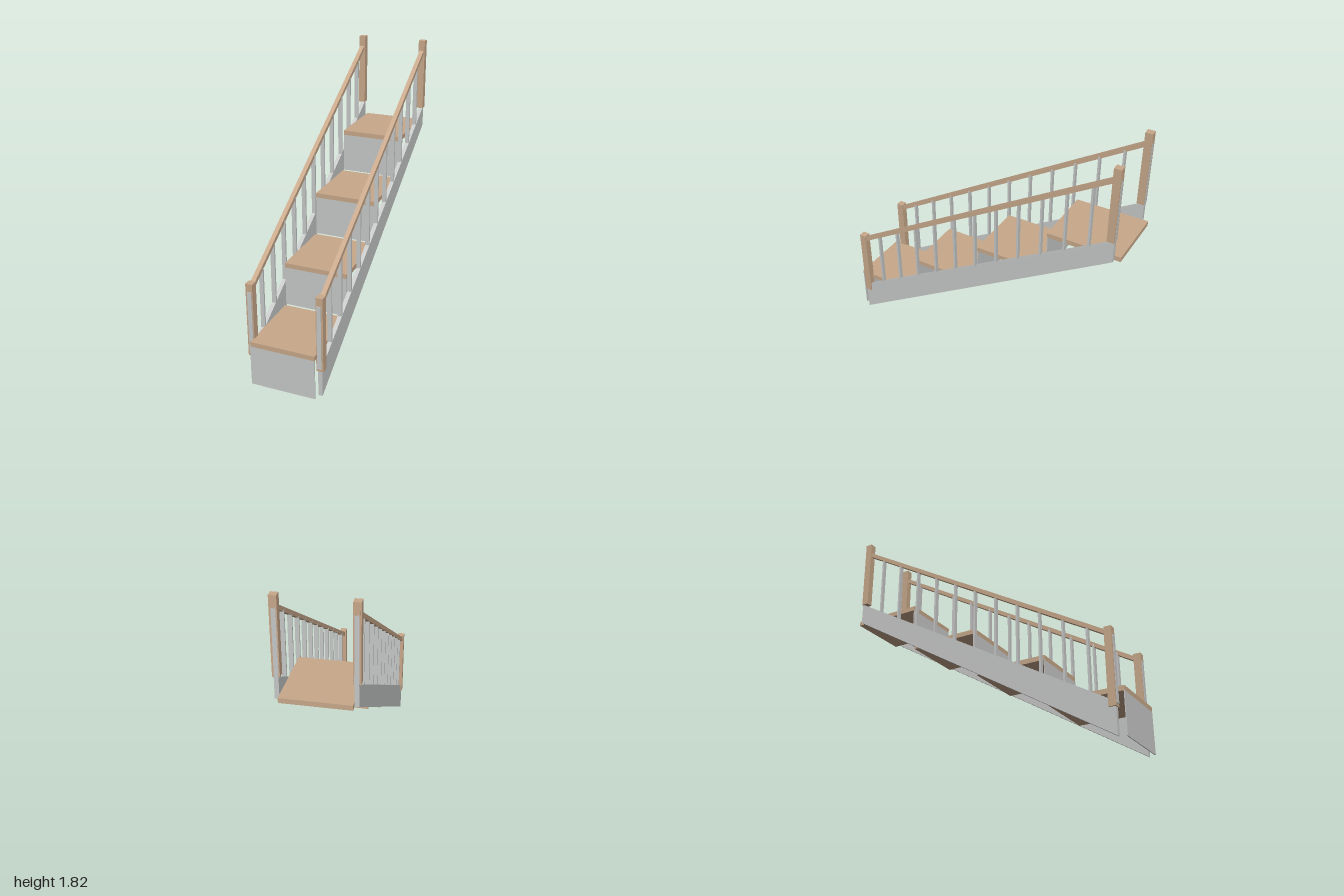
import * as THREE from 'three';

const wood = new THREE.MeshStandardMaterial({ color: 0xc9a98b });
wood.name = 'tan wood';
const paint = new THREE.MeshStandardMaterial({ color: 0xc7c9c8 });
paint.name = 'pale grey paint';

function box(name, material, w, h, d, x, y, z) {
  const mesh = new THREE.Mesh(new THREE.BoxGeometry(w, h, d), material);
  mesh.name = name;
  mesh.position.set(x, y, z);
  return mesh;
}

// Plate cut from a side outline of [z, y] points, with its thickness along x
function sidePlate(name, material, outline, thickness, x) {
  const shape = new THREE.Shape(outline.map(([z, y]) => new THREE.Vector2(-z, y)));
  const geometry = new THREE.ExtrudeGeometry(shape, { depth: thickness, bevelEnabled: false });
  geometry.translate(0, 0, -thickness / 2);
  geometry.rotateY(Math.PI / 2);
  const mesh = new THREE.Mesh(geometry, material);
  mesh.name = name;
  mesh.position.x = x;
  return mesh;
}

const stringerTop = (z) => 0.763 - 0.586 * z;
const railTop = (z) => 1.205 - 0.594 * z;

export function createModel() {
  const model = new THREE.Group();
  model.name = 'staircase';

  // Treads with a thin riser under each front edge
  const rise = 0.302, treadThick = 0.032, treadDepth = 0.488;
  for (let i = 0; i < 4; i++) {
    const front = 1 - i * 0.504;
    const top = (i + 1) * rise;
    model.add(box('tread', wood, 0.43, treadThick, treadDepth, 0, top - treadThick / 2, front - treadDepth / 2));
    const riserHeight = rise - treadThick;
    model.add(box('riser', paint, 0.43, riserHeight, 0.006, 0, i * rise + riserHeight / 2, front - 0.003));
  }

  for (const side of [-1, 1]) {
    const group = new THREE.Group();
    group.name = side > 0 ? 'leftBalustrade' : 'rightBalustrade';
    const x = side * 0.23;

    // Sloping side board
    group.add(sidePlate('stringer', paint,
      [[0.953, 0], [-0.96, 1.178], [-0.96, stringerTop(-0.96)], [0.953, stringerTop(0.953)]], 0.028, x));

    // Handrail
    const a = 0.957, b = -0.964, t = 0.032;
    group.add(sidePlate('handrail', wood,
      [[a, railTop(a) - t], [b, railTop(b) - t], [b, railTop(b)], [a, railTop(a)]], 0.03, x));

    // Newel posts at both ends
    group.add(box('lowerPost', wood, 0.046, 0.5, 0.048, x, 0.425, 0.934));
    group.add(box('upperPost', wood, 0.046, 0.5, 0.048, x, 1.57, -0.937));

    // Balusters, the end ones set into the posts
    for (let i = -6; i <= 6; i++) {
      const z = i * 0.1593;
      const low = stringerTop(z) - 0.01, high = railTop(z) - 0.016;
      group.add(box('baluster', paint, 0.028, high - low, 0.013, side * 0.228, (low + high) / 2, z));
    }
    model.add(group);
  }
  return model;
}
